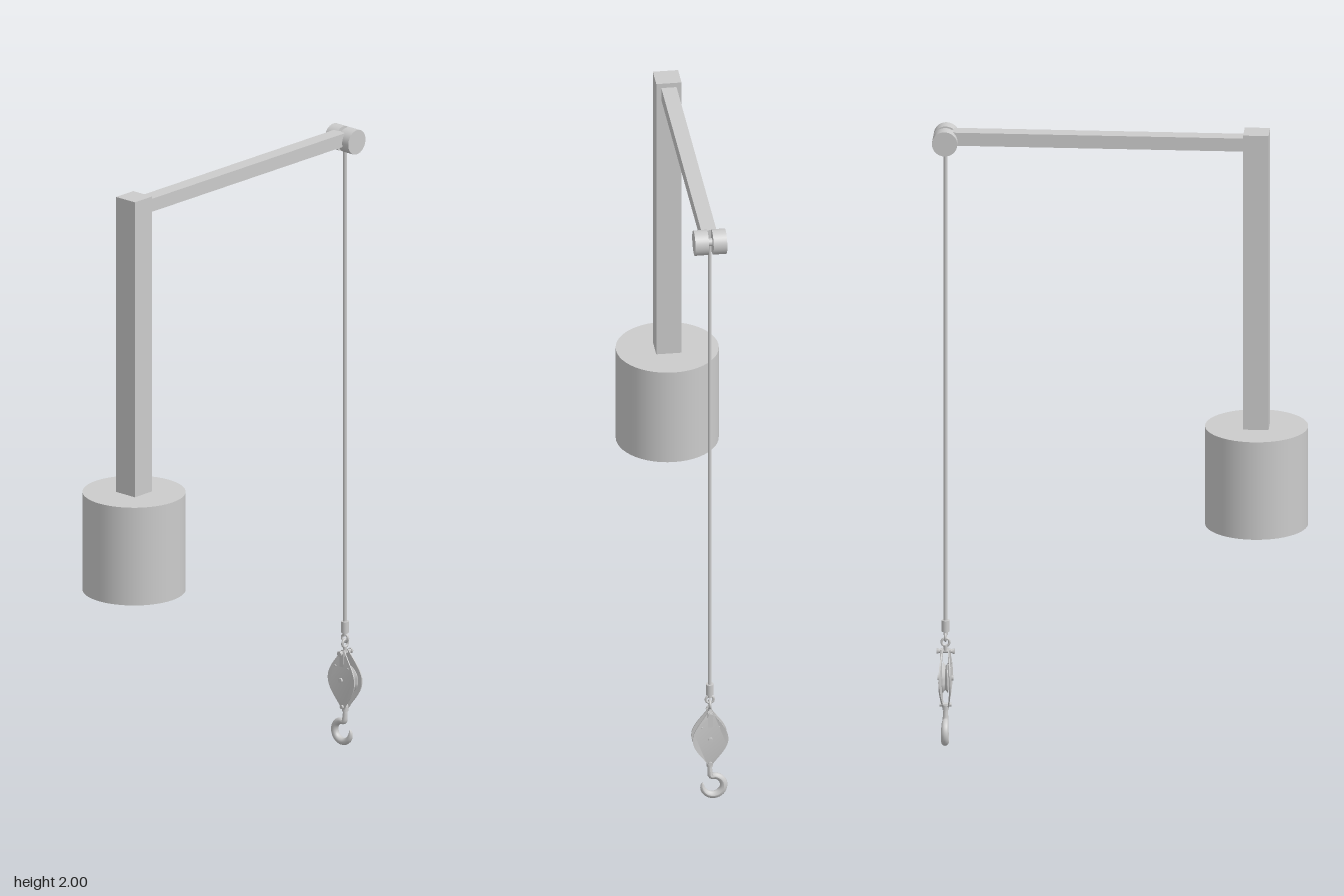
import * as THREE from 'three';
import { toCreasedNormals } from 'three/addons/utils/BufferGeometryUtils.js';

const MAST_X = -0.418, CABLE_X = 0.536;

export function createModel() {
  const root = new THREE.Group();
  root.name = 'weightedHoistArm';
  const mat = new THREE.MeshStandardMaterial({ color: 0xcccccc });

  const add = (name, geo, x = 0, y = 0, z = 0, parent = root) => {
    const mesh = new THREE.Mesh(geo, mat);
    mesh.name = name;
    mesh.position.set(x, y, z);
    parent.add(mesh);
    return mesh;
  };
  const cyl = (r, h, n = 24) => new THREE.CylinderGeometry(r, r, h, n);
  const along = (axis, geo) => (axis === 'x' ? geo.rotateZ(Math.PI / 2) : geo.rotateX(Math.PI / 2));

  // Counterweight, mast and arm
  add('counterweight', cyl(0.158, 0.315, 48), MAST_X, 0.892);
  add('mast', new THREE.BoxGeometry(0.078, 0.955, 0.078), MAST_X, 1.5225);
  add('arm', new THREE.BoxGeometry(0.9, 0.042, 0.047), 0.065, 1.964);

  // Twin rollers with the cable running in the gap
  for (const s of [-1, 1]) add('roller', along('z', cyl(0.039, 0.042, 32)), CABLE_X, 1.955, s * 0.028);
  add('rollerAxle', along('z', cyl(0.012, 0.05)), CABLE_X, 1.955);
  add('cable', cyl(0.006, 1.57, 16), CABLE_X, 1.17);

  // Hook block, hanging on the cable axis
  const block = new THREE.Group();
  block.name = 'hookBlock';
  block.position.x = CABLE_X;
  root.add(block);
  const part = (name, geo, x, y, z) => add(name, geo, x, y, z, block);

  // Cable ferrule, eye and swivel ring
  part('ferrule', cyl(0.012, 0.036), 0, 0.383);
  part('ferruleNeck', cyl(0.007, 0.014, 16), 0, 0.361);
  part('cableEye', new THREE.TorusGeometry(0.012, 0.004, 10, 24).rotateY(Math.PI / 2), 0, 0.347);
  part('swivelRing', new THREE.TorusGeometry(0.012, 0.004, 10, 24), 0, 0.33);

  // Shackle: stem, cross pin and two side straps
  part('shackleStem', cyl(0.006, 0.02, 16), 0, 0.31);
  part('shacklePin', along('x', cyl(0.006, 0.05, 16)), 0, 0.301);
  for (const s of [-1, 1]) {
    part('shacklePinHead', along('x', cyl(0.009, 0.006, 6)), s * 0.025, 0.301);
    part('shackleStrap', new THREE.BoxGeometry(0.004, 0.05, 0.016), s * 0.014, 0.282);
  }

  // Leaf-shaped cheek plates, bowed outward around the sheave
  const leafPts = [];
  const half = (t) => 0.006 + 0.049 * Math.pow(Math.sin(Math.PI * t), 1.25);
  const N = 24;
  for (let i = 0; i <= N; i++) leafPts.push(new THREE.Vector2(half(i / N), -0.095 + 0.19 * i / N));
  for (let i = N; i >= 0; i--) leafPts.push(new THREE.Vector2(-half(i / N), -0.095 + 0.19 * i / N));
  const leaf = new THREE.Shape(leafPts);
  for (const s of [-1, 1]) {
    const geo = new THREE.ExtrudeGeometry(leaf, { depth: 0.004, bevelEnabled: false });
    geo.translate(0, 0, -0.002).rotateY(-Math.PI / 2);
    const p = geo.attributes.position;
    for (let i = 0; i < p.count; i++) {
      const v = p.getY(i) / 0.095;
      p.setX(i, p.getX(i) + s * (0.008 + 0.009 * (1 - v * v)));
    }
    part('cheekPlate', toCreasedNormals(geo, 0.6), 0, 0.215);
    part('sheaveBolt', along('x', cyl(0.008, 0.007, 6)), s * 0.021, 0.215);
    for (const z of [-0.026, 0.026]) part('cheekRivet', along('x', cyl(0.003, 0.006, 10)), s * 0.0155, 0.256, z);
  }

  // Grooved sheave turned about the x axis
  const groove = [[0, -0.009], [0.046, -0.009], [0.046, -0.007], [0.037, 0], [0.046, 0.007], [0.046, 0.009], [0, 0.009]]
    .map(([r, y]) => new THREE.Vector2(r, y));
  part('sheave', along('x', toCreasedNormals(new THREE.LatheGeometry(groove, 32), 0.5)), 0, 0.215);

  // Lower pin and hook swivel
  part('lowerPin', along('x', cyl(0.006, 0.036, 16)), 0, 0.128);
  part('hookSwivel', cyl(0.01, 0.016, 16), 0, 0.12);

  // Hook: a tube that swells at the bend and tapers to the tip
  const pts = [new THREE.Vector3(0, 0.125, 0), new THREE.Vector3(0, 0.1, 0)];
  for (let d = 80; d <= 380; d += 25) {
    const a = d * Math.PI / 180;
    pts.push(new THREE.Vector3(0, 0.045 + 0.033 * Math.sin(a), -0.01 + 0.033 * Math.cos(a)));
  }
  const curve = new THREE.CatmullRomCurve3(pts);
  const SEG = 64, RAD = 12;
  const hookGeo = new THREE.TubeGeometry(curve, SEG, 0.01, RAD);
  const hp = hookGeo.attributes.position, v = new THREE.Vector3();
  for (let i = 0; i <= SEG; i++) {
    const t = i / SEG, c = curve.getPointAt(t);
    const k = t < 0.6 ? 0.6 + 0.6 * Math.sin(t / 0.6 * Math.PI / 2) : 1.2 * Math.sqrt(Math.max(0, 1 - Math.pow((t - 0.6) / 0.4, 2)));
    for (let j = 0; j <= RAD; j++) {
      const n = i * (RAD + 1) + j;
      v.fromBufferAttribute(hp, n).sub(c).multiplyScalar(Math.max(k, 0.02)).add(c);
      hp.setXYZ(n, v.x, v.y, v.z);
    }
  }
  hookGeo.computeVertexNormals();
  part('hook', hookGeo);

  return root;
}
